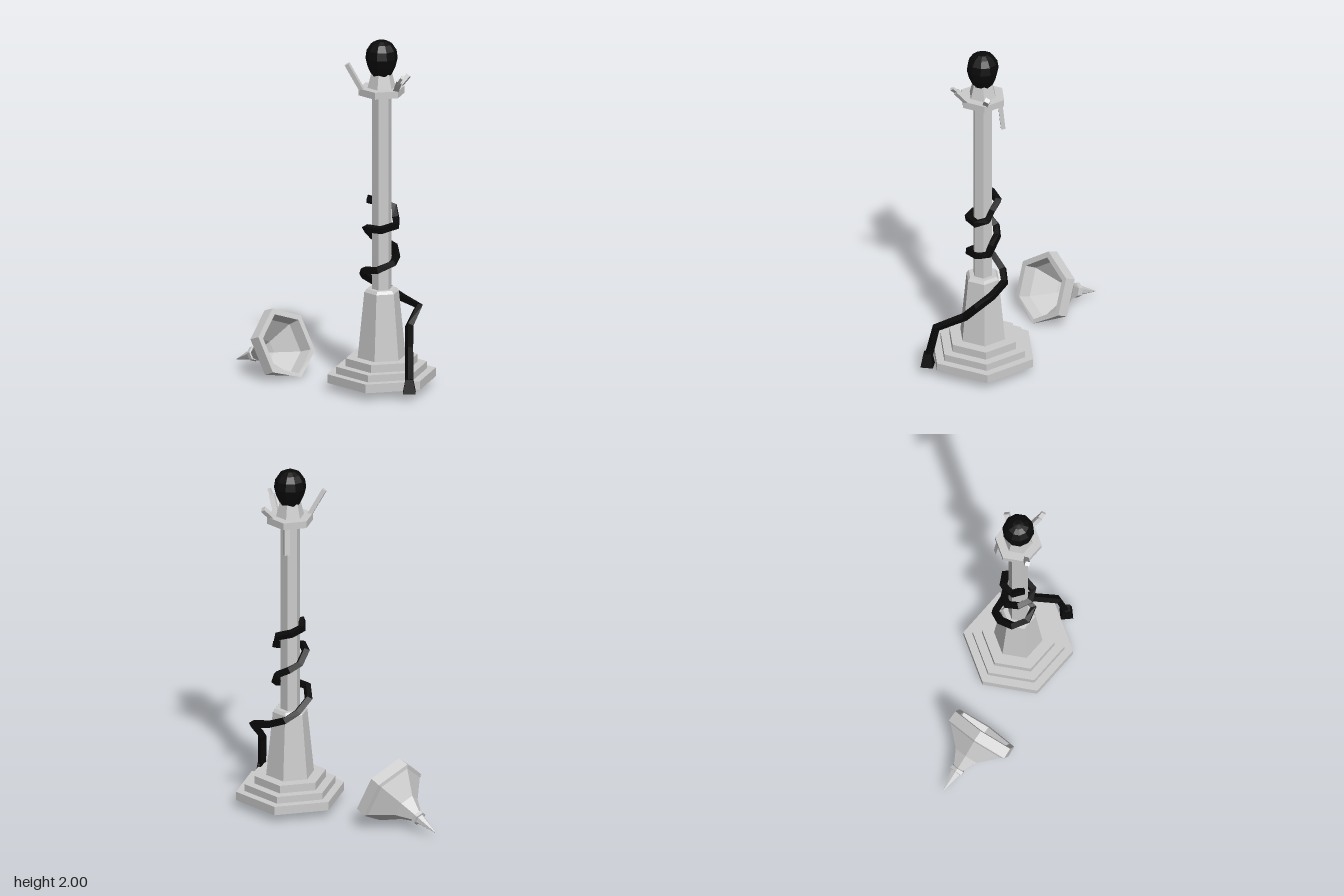
import * as THREE from 'three';

const grey = new THREE.MeshStandardMaterial({ color: 0xcccccc, flatShading: true });
const shell = new THREE.MeshStandardMaterial({ color: 0xcccccc, flatShading: true, side: THREE.DoubleSide });
const black = new THREE.MeshStandardMaterial({ color: 0x0a0a0a, flatShading: true, side: THREE.DoubleSide });
const POST_X = 0.32;
const V = (x, y, z) => new THREE.Vector3(x, y, z);

function add(parent, name, geometry, material) {
  const mesh = new THREE.Mesh(geometry, material);
  mesh.name = name;
  parent.add(mesh);
  return mesh;
}

// Six-sided tier from y0 to y1, tapering from radius r0 to r1
function hexTier(parent, name, y0, y1, r0, r1 = r0) {
  const mesh = add(parent, name, new THREE.CylinderGeometry(r1, r0, y1 - y0, 6), grey);
  mesh.position.set(POST_X, (y0 + y1) / 2, 0);
}

// Flat bar running from a to b
function bar(parent, name, a, b, width, depth) {
  const dir = b.clone().sub(a);
  const mesh = add(parent, name, new THREE.BoxGeometry(width, dir.length(), depth), grey);
  mesh.position.copy(a).lerp(b, 0.5);
  mesh.quaternion.setFromUnitVectors(V(0, 1, 0), dir.normalize());
}

// Straight-segment path with one tube ring per point
class Polyline extends THREE.Curve {
  constructor(points) { super(); this.points = points; }
  getUtoTmapping(u) { return u; }
  getPoint(t, target = V(0, 0, 0)) {
    const n = this.points.length - 1;
    const i = Math.min(Math.floor(t * n + 1e-9), n - 1);
    return target.lerpVectors(this.points[i], this.points[i + 1], t * n - i);
  }
}

function lathe(profile, sides) {
  return new THREE.LatheGeometry(profile.map(([r, y]) => new THREE.Vector2(r, y)), sides);
}

function buildLampPost(root) {
  const post = new THREE.Group();
  post.name = 'lampPost';
  root.add(post);

  // Stepped base, pedestal and pole
  hexTier(post, 'baseStep1', 0.045, 0.095, 0.31);
  hexTier(post, 'baseStep2', 0.095, 0.135, 0.26);
  hexTier(post, 'baseStep3', 0.135, 0.18, 0.205);
  hexTier(post, 'pedestal', 0.18, 0.555, 0.137, 0.099);
  hexTier(post, 'pedestalCap', 0.555, 0.572, 0.099, 0.085);
  hexTier(post, 'pole', 0.57, 1.69, 0.056);

  // Lamp seat
  hexTier(post, 'collar', 1.69, 1.73, 0.132);
  hexTier(post, 'bulbHolder', 1.73, 1.81, 0.08, 0.06);

  // Broken shade supports
  bar(post, 'supportTall', V(0.225, 1.72, 0.06), V(0.145, 1.87, 0.083), 0.025, 0.025);
  bar(post, 'supportShort', V(0.415, 1.72, 0.045), V(0.455, 1.80, 0.10), 0.03, 0.025);
  bar(post, 'supportShortTip', V(0.445, 1.785, 0.09), V(0.475, 1.825, 0.115), 0.015, 0.025);
  bar(post, 'supportStub', V(0.40, 1.72, -0.055), V(0.45, 1.785, -0.09), 0.025, 0.03);
  bar(post, 'supportHanging', V(0.31, 1.715, -0.10), V(0.305, 1.537, -0.118), 0.03, 0.025);

  // Bulb
  const bulb = add(post, 'bulb', lathe([[0, 1.795], [0.055, 1.80], [0.078, 1.85], [0.09, 1.90],
    [0.083, 1.945], [0.06, 1.98], [0.03, 1.996], [0, 2.0]], 10), black);
  bulb.position.x = POST_X;
}

function buildCable(root) {
  // Cable rising from the plug and winding round the pole
  const points = [
    [0.55, 0.08, 0.23], [0.535, 0.29, 0.185], [0.49, 0.375, 0.03], [0.52, 0.47, -0.055],
    [0.41, 0.50, -0.10], [0.31, 0.545, -0.13], [0.25, 0.585, -0.09], [0.21, 0.64, -0.01],
    [0.24, 0.685, 0.065], [0.32, 0.695, 0.085], [0.385, 0.72, 0], [0.385, 0.745, -0.065],
    [0.37, 0.795, -0.08], [0.30, 0.83, -0.08], [0.25, 0.86, -0.05], [0.235, 0.915, 0.02],
    [0.27, 0.93, 0.075], [0.34, 0.927, 0.08], [0.405, 0.94, 0], [0.385, 0.965, -0.06],
    [0.37, 1.025, -0.08], [0.29, 1.05, -0.08], [0.245, 1.065, -0.02], [0.265, 1.095, 0.04],
  ].map((p) => V(...p));
  const cable = new THREE.Group();
  cable.name = 'cable';
  root.add(cable);
  add(cable, 'cord', new THREE.TubeGeometry(new Polyline(points), points.length - 1, 0.024, 4), black);

  // Plug block at the foot
  const plug = add(cable, 'plug', new THREE.CylinderGeometry(0.03, 0.05, 0.08, 4), black);
  plug.position.set(0.55, 0.085, 0.23);
  plug.rotation.y = Math.PI / 4 + 0.28;
}

function buildShade(root) {
  // Hollow six-sided shade with spike and collar, lathed along its axis from the tip
  const geometry = lathe([[0.002, 0], [0.03, 0.13], [0.043, 0.133], [0.043, 0.153], [0.034, 0.156],
    [0.082, 0.24], [0.195, 0.345], [0.216, 0.355], [0.213, 0.418], [0.178, 0.418],
    [0.165, 0.35], [0.065, 0.24], [0.02, 0.17], [0, 0.17]], 6);
  const tip = V(-0.6, 0.025, -0.26);
  const axis = V(0.345, 0.16, 0.175).normalize();
  const up = V(-0.07, 0.2, 0);
  up.addScaledVector(axis, -up.dot(axis)).normalize();
  const side = axis.clone().cross(up);
  geometry.applyMatrix4(new THREE.Matrix4().makeBasis(side, axis, up).setPosition(tip));

  // Flatten the side resting on the ground
  const pos = geometry.attributes.position;
  for (let i = 0; i < pos.count; i++) pos.setY(i, Math.max(pos.getY(i), 0));
  geometry.computeVertexNormals();
  add(root, 'fallenShade', geometry, shell);
}

export function createModel() {
  const root = new THREE.Group();
  root.name = 'brokenStreetLamp';
  buildLampPost(root);
  buildCable(root);
  buildShade(root);
  return root;
}
